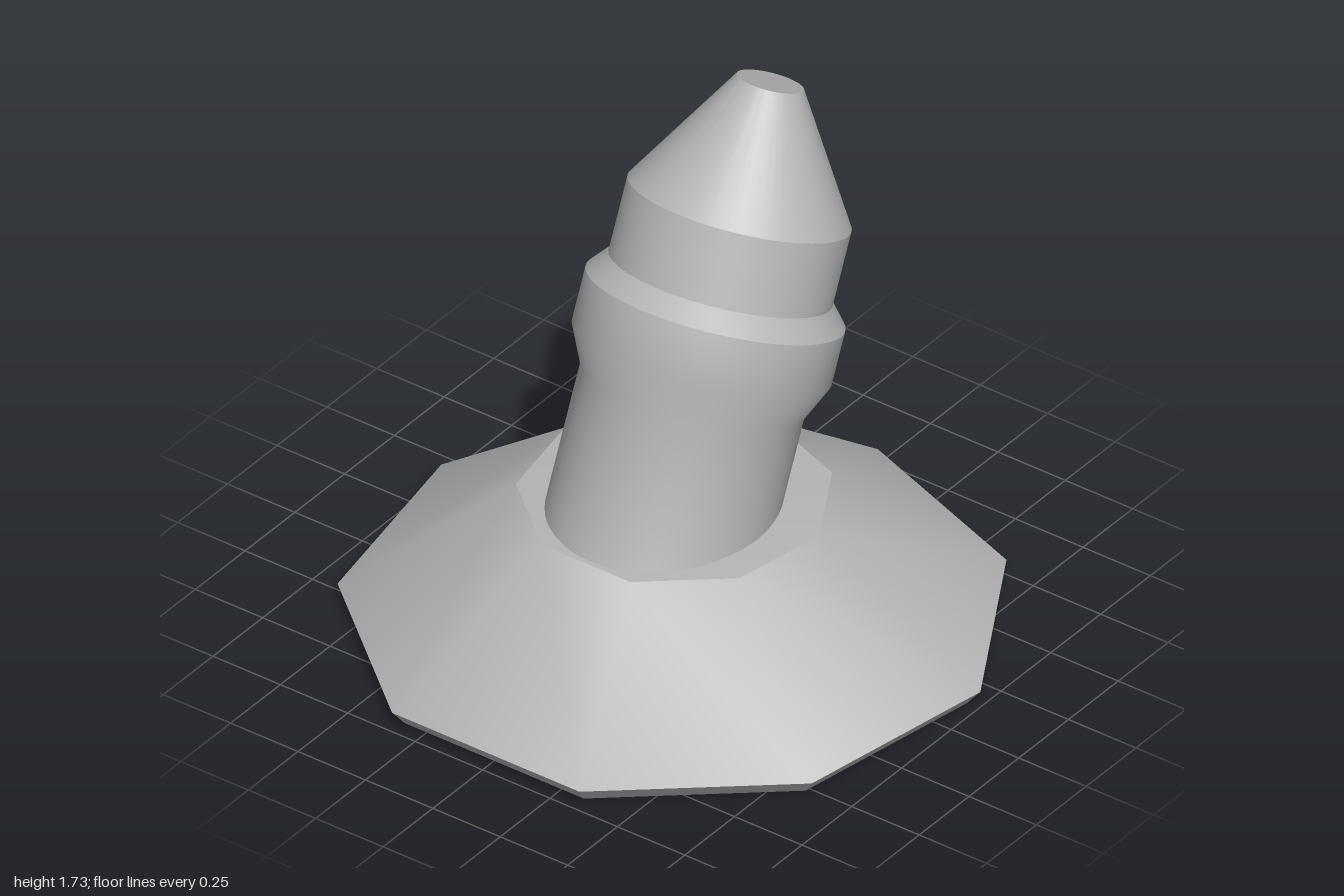
import * as THREE from 'three';
import { toCreasedNormals } from 'three/addons/utils/BufferGeometryUtils.js';

const CREASE = 0.52; // keeps the rim edges sharp and the gentle slopes smooth

function lathe(profile, sides, phiStart) {
  return new THREE.LatheGeometry(profile.map(([r, y]) => new THREE.Vector2(r, y)), sides, phiStart);
}

export function createModel() {
  const model = new THREE.Group();
  model.name = 'tiltedPlug';
  const grey = new THREE.MeshStandardMaterial({ color: 0xb4b4b4 });
  grey.name = 'plain grey';

  // nine-sided conical base with undercut rim and slightly raised top
  const baseGeo = lathe(
    [[0, 0], [0.97, 0], [1.0154, 0.055], [0.48, 0.46], [0, 0.5]], 9, Math.PI / 2);
  const base = new THREE.Mesh(toCreasedNormals(baseGeo, CREASE), grey);
  base.name = 'base';
  base.position.x = -0.03;
  model.add(base);

  // round tilted body: shaft, collar, neck and blunt cone, measured back from the tip
  const tilt = THREE.MathUtils.degToRad(23.5);
  const tip = new THREE.Vector3(0.445, 1.6925, 0);
  const bodyGeo = lathe([
    [0.345, -1.5], [0.345, -0.98], [0.4, -0.862], [0.4, -0.69],
    [0.345, -0.625], [0.345, -0.387], [0.104, 0], [0, 0],
  ], 64, 0);
  bodyGeo.rotateZ(-tilt).translate(tip.x, tip.y, tip.z);

  // slide the lowest ring along the axis so the shaft ends level, just inside the base
  const pos = bodyGeo.attributes.position;
  for (let i = 0; i < pos.count; i += 8) {
    const slide = (0.44 - pos.getY(i)) / Math.cos(tilt);
    pos.setXY(i, pos.getX(i) + slide * Math.sin(tilt), 0.44);
  }
  const body = new THREE.Mesh(toCreasedNormals(bodyGeo, CREASE), grey);
  body.name = 'tiltedBody';
  model.add(body);

  return model;
}
